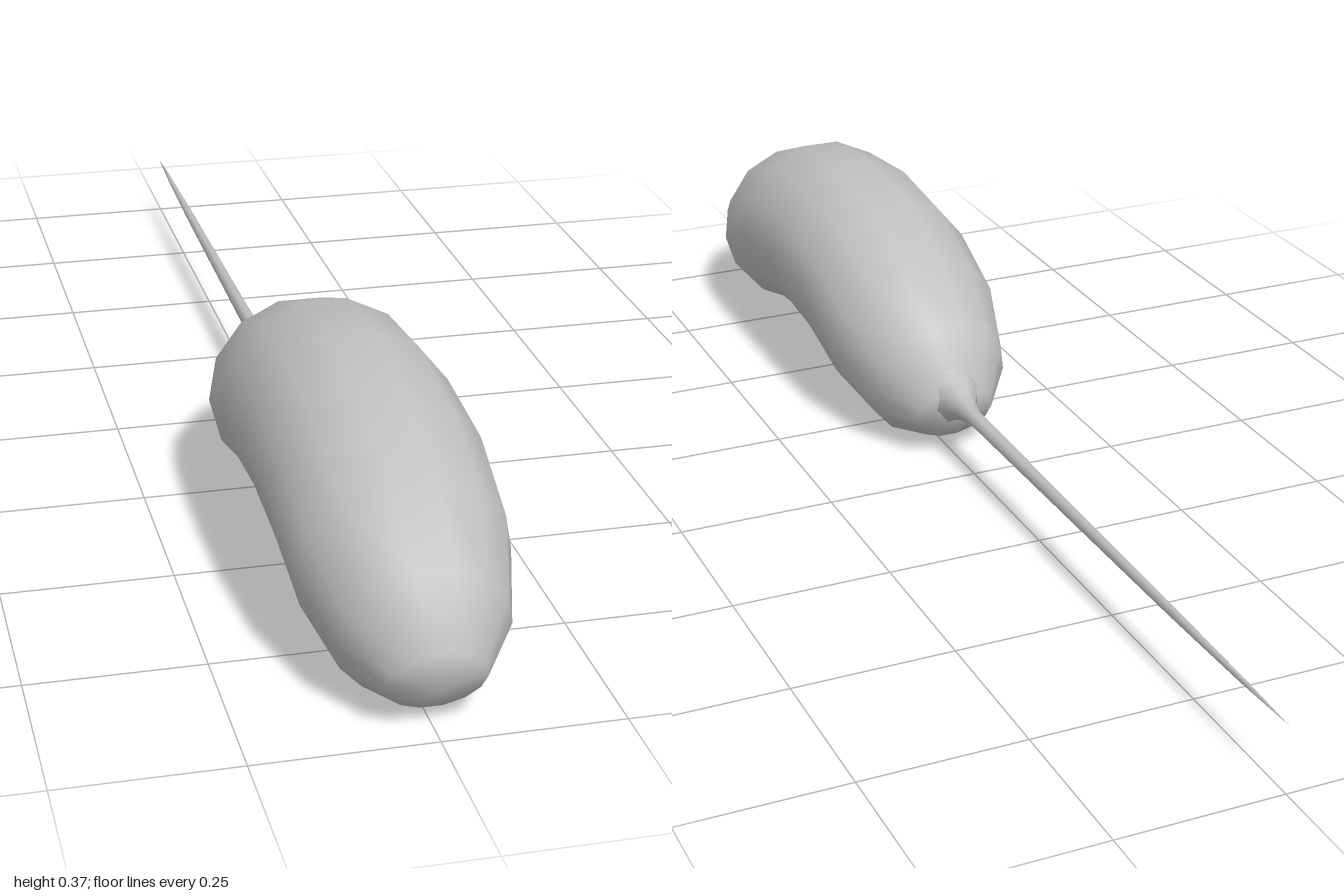
import * as THREE from 'three';
import { mergeVertices } from 'three/addons/utils/BufferGeometryUtils.js';

// Smooth skin over elliptical sections, ordered front to back.
// Each section: [top z, top y, bottom z, bottom y, half width]
function loft(sections, sides) {
  const pos = [], idx = [];
  const flat = 1 / Math.cos(Math.PI / sides); // so the flat facets reach the given top and bottom
  for (const [tz, ty, bz, by, w] of sections) {
    for (let j = 0; j < sides; j++) {
      const a = ((j + 0.5) / sides) * Math.PI * 2;
      const c = (Math.cos(a) * flat) / 2;
      pos.push(w * Math.sin(a), (ty + by) / 2 + (ty - by) * c, (tz + bz) / 2 + (tz - bz) * c);
    }
  }
  for (let i = 0; i < sections.length - 1; i++) {
    for (let j = 0; j < sides; j++) {
      const k = (j + 1) % sides;
      const a = i * sides + j, b = i * sides + k, c = a + sides, d = b + sides;
      idx.push(a, b, c, b, d, c);
    }
  }
  let geo = new THREE.BufferGeometry();
  geo.setAttribute('position', new THREE.Float32BufferAttribute(pos, 3));
  geo.setIndex(idx);
  geo = mergeVertices(geo, 1e-5);
  geo.computeVertexNormals();
  return geo;
}

export function createModel() {
  const group = new THREE.Group();
  group.name = 'beanWithTail';
  const grey = new THREE.MeshStandardMaterial({ color: 0xc0c0c0 });
  grey.name = 'lightGrey';

  // Bent capsule body: half of the sections, mirrored about its middle
  const middle = 0.53;
  const half = [
    [0.462, 0.068, 0.462, 0.068, 0],
    [0.468, 0.125, 0.425, 0.025, 0.068],
    [0.42, 0.215, 0.345, 0.0, 0.118],
    [0.315, 0.29, 0.235, 0.022, 0.149],
    [0.17, 0.347, 0.13, 0.055, 0.155],
  ];
  const place = (s, sign) => [middle + sign * s[0], s[1], middle + sign * s[2], s[3], s[4]];
  const sections = [
    ...half.map((s) => place(s, 1)),
    [middle, 0.365, middle, 0.065, 0.155],
    ...half.slice().reverse().map((s) => place(s, -1)),
  ];
  const body = new THREE.Mesh(loft(sections, 14), grey);
  body.name = 'body';
  group.add(body);

  // Thin tail: flares into the body and tapers to a point
  const tailSections = [
    [0.09, 0.165, 0.09, 0.055, 0.05],
    [0.055, 0.138, 0.055, 0.076, 0.03],
    [0.03, 0.124, 0.03, 0.085, 0.018],
    [0, 0.115, 0, 0.09, 0.013],
    [-0.3, 0.112, -0.3, 0.091, 0.01],
    [-0.68, 0.109, -0.68, 0.094, 0.007],
    [-0.88, 0.106, -0.88, 0.098, 0.004],
    [-1, 0.103, -1, 0.103, 0],
  ];
  const tail = new THREE.Mesh(loft(tailSections, 8), grey);
  tail.name = 'tail';
  group.add(tail);

  return group;
}
